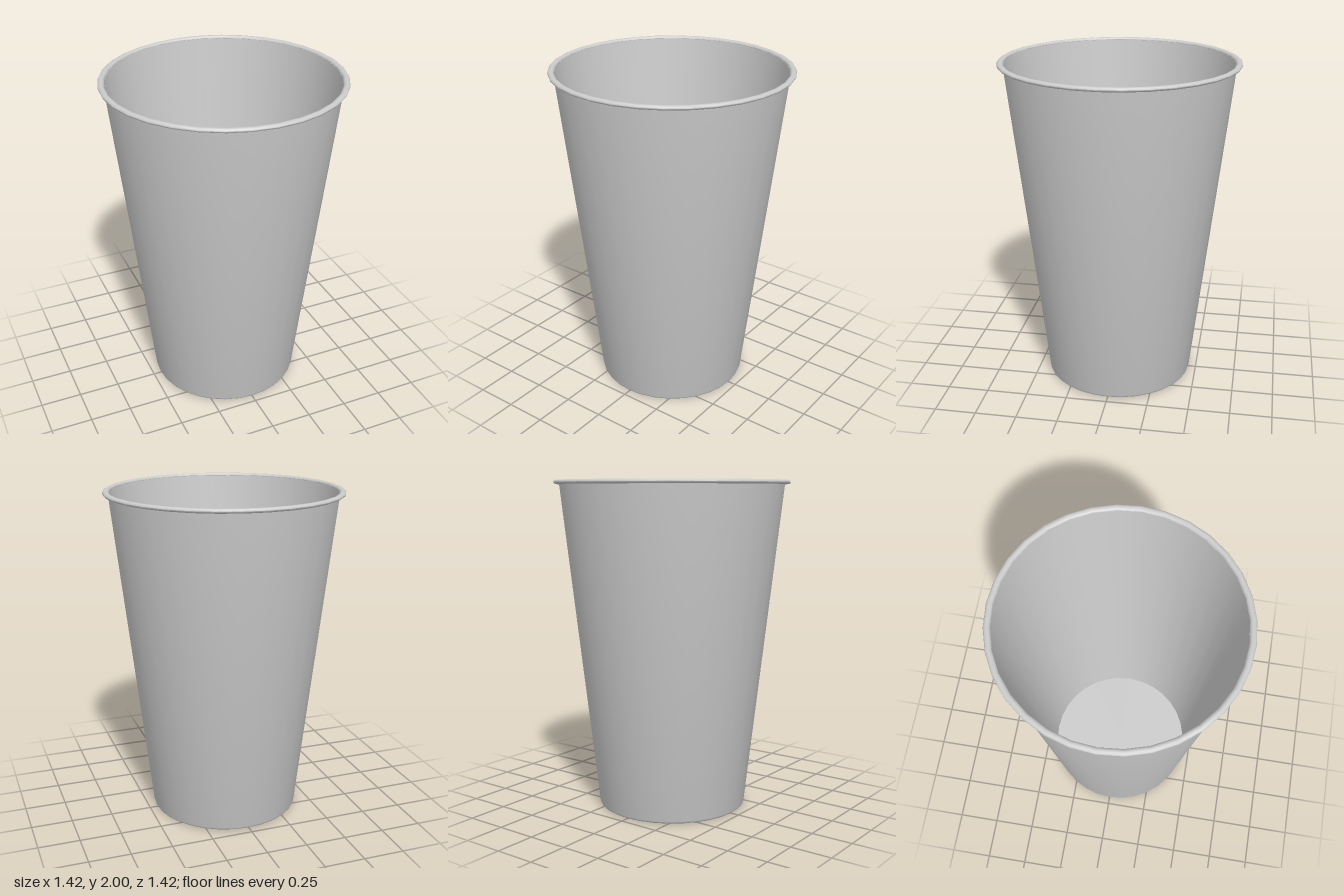
import * as THREE from 'three';
import { toCreasedNormals } from 'three/addons/utils/BufferGeometryUtils.js';

const SEGMENTS = 32;
const material = new THREE.MeshStandardMaterial({ color: 0xcccccc, side: THREE.DoubleSide });

// Turned part from [radius, height] pairs; sharp profile corners stay sharp
function turned(name, profile) {
  const points = profile.map(([r, y]) => new THREE.Vector2(r, y));
  const geometry = toCreasedNormals(new THREE.LatheGeometry(points, SEGMENTS), 0.9);
  const mesh = new THREE.Mesh(geometry, material);
  mesh.name = name;
  return mesh;
}

export function createModel() {
  const cup = new THREE.Group();
  cup.name = 'cup';

  // Thin tapered wall with a softly rounded foot: up the outside, down the inside
  cup.add(turned('wall', [
    [0.436, 0], [0.446, 0.001], [0.452, 0.005], [0.455, 0.014],
    [0.677, 1.985], [0.672, 1.985], [0.449, 0.012],
  ]));

  // Floor disc with an upper and a lower face
  cup.add(turned('floor', [[0, 0.002], [0.438, 0.002], [0.449, 0.012], [0, 0.012]]));

  // Rolled lip around the mouth
  const lip = [];
  for (let i = 0; i <= 10; i++) {
    const a = (i / 10) * Math.PI * 2;
    lip.push([0.691 + 0.019 * Math.cos(a), 1.987 + 0.013 * Math.sin(a)]);
  }
  cup.add(turned('rolledRim', lip));

  return cup;
}
